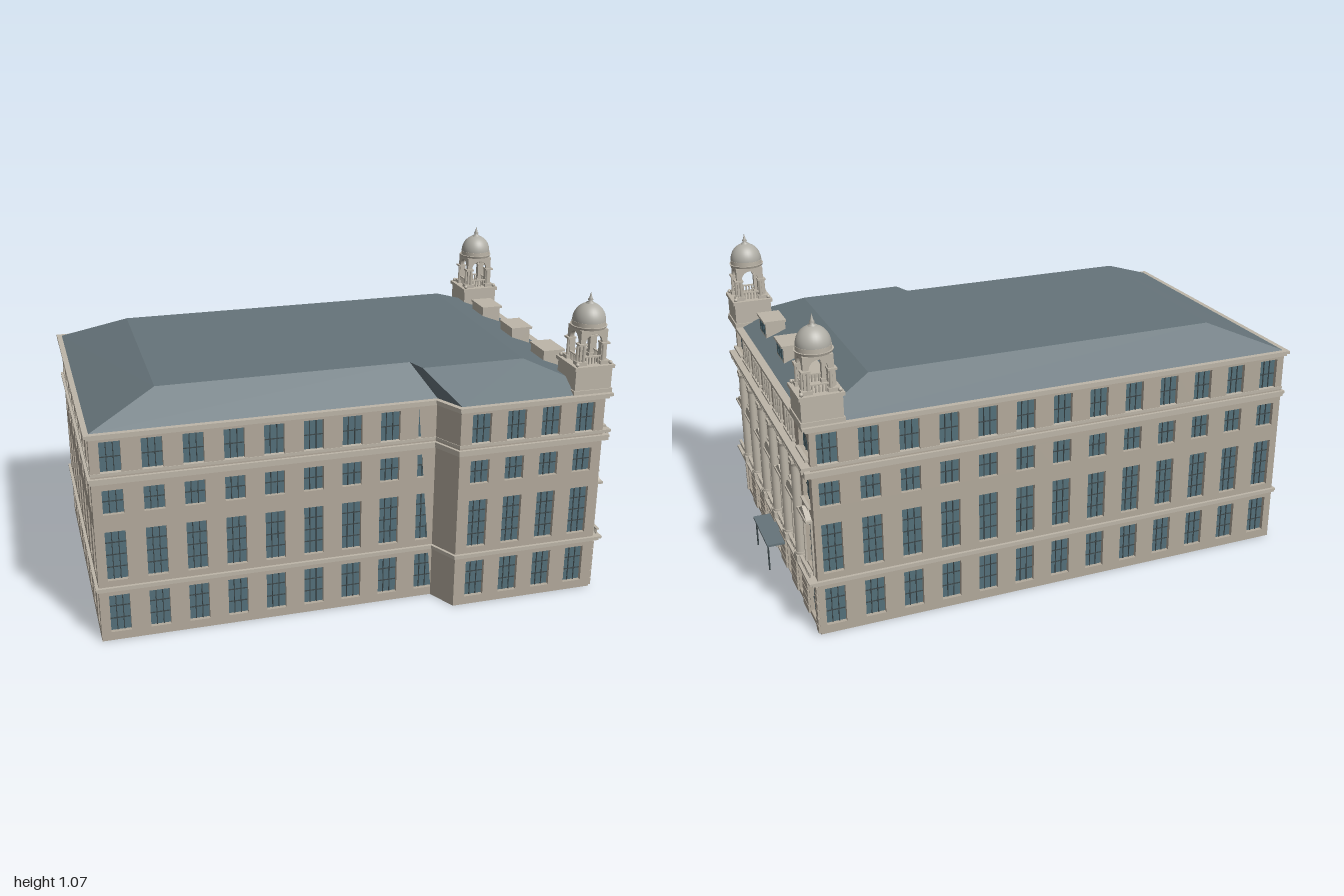
import * as THREE from 'three';
import { mergeGeometries } from 'three/addons/utils/BufferGeometryUtils.js';

const mat = (color) => new THREE.MeshStandardMaterial({ color });
const STONE = mat(0xb3aa9c), TRIM = mat(0xbdb6a9), GLASS = mat(0x54707a), BARS = mat(0x3d484b);
const ROOF = mat(0x66747a), DARK = mat(0x333333), DOME = mat(0xb0aea6);

// ---- helpers ----
const box = (x, y, z, w, h, d) => new THREE.BoxGeometry(w, h, d).translate(x, y, z);
const rod = (x, y0, y1, z, rTop, rBottom = rTop, n = 12) =>
  new THREE.CylinderGeometry(rTop, rBottom, y1 - y0, n).translate(x, (y0 + y1) / 2, z);
const ball = (x, y, z, r) => new THREE.SphereGeometry(r, 12, 8).translate(x, y, z);
function part(parent, name, geos, material) {
  const mesh = new THREE.Mesh(mergeGeometries(geos.map((g) => (g.index ? g.toNonIndexed() : g))), material);
  mesh.name = name;
  parent.add(mesh);
  return mesh;
}
const prism = (shape, depth, z) =>
  new THREE.ExtrudeGeometry(shape, { depth, bevelEnabled: false, curveSegments: 10 }).translate(0, 0, z);

// opening outline: x is the centre, y the sill, rise the height of the arched head
const opening = (x, y, w, h, rise = 0) => ({ x, y, w, h, rise });
function outlineOf({ x, y, w, h, rise }, Type) {
  const s = new Type();
  s.moveTo(x - w / 2, y);
  s.lineTo(x + w / 2, y);
  s.lineTo(x + w / 2, y + h - rise);
  if (rise) s.absellipse(x, y + h - rise, w / 2, rise, 0, Math.PI, false);
  else s.lineTo(x - w / 2, y + h);
  s.lineTo(x - w / 2, y);
  return s;
}

// wall in its own frame: x along the wall, z outward, openings glazed behind the face
function wall(parent, name, rot, dist, x0, x1, openings) {
  const g = new THREE.Group();
  g.name = name;
  g.rotation.y = rot;
  parent.add(g);
  const shape = new THREE.Shape([[x0, 0], [x1, 0], [x1, 0.73], [x0, 0.73]].map((p) => new THREE.Vector2(...p)));
  shape.holes = openings.map((o) => outlineOf(o, THREE.Path));
  part(g, name + 'Masonry', [prism(shape, 0.02, dist - 0.02)], STONE);
  if (!openings.length) return g;
  part(g, name + 'Glass', openings.map((o) =>
    new THREE.ShapeGeometry(outlineOf(o, THREE.Shape), 10).translate(0, 0, dist - 0.014)), GLASS);
  const bars = [];
  for (const { x, y, w, h } of openings) {
    const cols = w > 0.05 ? 3 : 1, rows = Math.max(2, Math.round(h / 0.045));
    for (let i = 1; i < cols; i++) bars.push(box(x - w / 2 + (w * i) / cols, y + h * 0.48, dist - 0.013, 0.003, h * 0.96, 0.004));
    for (let i = 1; i < rows; i++) bars.push(box(x, y + (h * i) / rows, dist - 0.013, w * 0.98, 0.003, 0.004));
  }
  part(g, name + 'GlazingBars', bars, BARS);
  return g;
}

// four storeys of plain windows
const STOREYS = [[0.03, 0.135], [0.22, 0.175], [0.455, 0.085], [0.595, 0.11]];
function windowGrid(start, step, count, w = 0.067) {
  const list = [];
  for (let i = 0; i < count; i++) for (const [y, h] of STOREYS) list.push(opening(start + i * step, y, w, h));
  return list;
}

// footprint grown by o, with the facade side grown by f
const footprint = (o, f = o) => [[-0.87 - o, -0.52 - o], [0.835 + f, -0.52 - o], [0.835 + f, 0.592 + o],
  [0.32 - 0.6 * o, 0.592 + o], [0.272 - 0.6 * o, 0.495 + o], [-0.87 - o, 0.495 + o]];
const planShape = (pts) => new THREE.Shape(pts.map(([x, z]) => new THREE.Vector2(x, -z)));
const slab = (y0, y1, o, f) => prism(planShape(footprint(o, f)), y1 - y0, 0).rotateX(-Math.PI / 2).translate(0, y0, 0);

function buildRoof(parent) {
  const top = [[-0.632, -0.381], [0.6, -0.381], [0.6, 0.435], [0.24, 0.435], [0.218, 0.368], [-0.64, 0.368]];
  const low = footprint(-0.004), pos = [];
  const at = (p, y) => [p[0], y, p[1]];
  low.forEach((a, i) => {
    const j = (i + 1) % low.length, b = low[j];
    pos.push(...at(a, 0.735), ...at(top[i], 0.825), ...at(b, 0.735));
    pos.push(...at(b, 0.735), ...at(top[i], 0.825), ...at(top[j], 0.825));
  });
  const slopes = new THREE.BufferGeometry();
  slopes.setAttribute('position', new THREE.Float32BufferAttribute(pos, 3));
  slopes.computeVertexNormals();
  part(parent, 'roofSlopes', [slopes], ROOF);
  part(parent, 'roofDeck', [new THREE.ShapeGeometry(planShape(top)).rotateX(-Math.PI / 2).translate(0, 0.825, 0)], ROOF);
}

function buildFacade(parent) {
  const Z = 0.835, bays = [-3, -2, -1, 0, 1, 2, 3].map((k) => ({ k, x: -0.045 + 0.162 * k, end: Math.abs(k) === 3 }));
  const holes = [], trim = [], stone = [];
  for (const { k, x, end } of bays) {
    // ground floor, tall main floor, third floor
    const ground = end ? opening(x, 0.016, 0.098, 0.152, 0.045)
      : Math.abs(k) === 2 ? opening(x, 0.016, 0.074, 0.135, 0.037) : opening(x, 0.006, 0.07, 0.14);
    holes.push(ground, opening(x, 0.205, 0.092, 0.19), opening(x, 0.445, end ? 0.088 : 0.076, 0.09));
    if (end) holes.push(opening(x, 0.615, 0.115, 0.1, 0.055));
    else for (const s of [-1, 0, 1]) holes.push(opening(x + s * 0.032, 0.625, 0.023, 0.085, 0.0115));
    if (!end) for (const s of [-1.5, -0.5, 0.5, 1.5]) trim.push(rod(x + s * 0.032, 0.612, 0.69, Z + 0.004, 0.005, 0.005, 8));
    trim.push(box(x, 0.613, Z + 0.006, 0.12, 0.008, 0.012));
    // pediments: triangular and segmental by turns
    const p = new THREE.Shape();
    p.moveTo(x - 0.055, 0.4);
    p.lineTo(x + 0.055, 0.4);
    if (k % 2) p.lineTo(x, 0.433);
    else p.absellipse(x, 0.405, 0.052, 0.038, 0, Math.PI, false);
    trim.push(prism(p, 0.018, Z), box(x, 0.4, Z + 0.011, 0.116, 0.008, 0.022));
    for (const s of [-1, 1]) trim.push(box(x + s * 0.05, 0.3, Z + 0.003, 0.008, 0.19, 0.006));
    trim.push(box(x, 0.442, Z + 0.005, 0.095, 0.006, 0.01));
    // balcony balustrade
    trim.push(box(x, 0.222, Z + 0.018, 0.12, 0.005, 0.01));
    for (let i = -5; i <= 5; i++) trim.push(rod(x + i * 0.01, 0.2, 0.22, Z + 0.018, 0.003, 0.003, 6));
    // keystone
    if (Math.abs(k) > 1) trim.push(box(x, 0.168 - (end ? 0 : 0.013), Z + 0.005, 0.014, 0.022, 0.012));
  }
  // giant order between the bays
  const columns = [];
  for (let k = -2.5; k < 3; k++) {
    const x = -0.045 + 0.162 * k;
    columns.push(box(x, 0.21, Z + 0.014, 0.044, 0.024, 0.036), rod(x, 0.222, 0.23, Z + 0.013, 0.019),
      rod(x, 0.23, 0.545, Z + 0.013, 0.0145, 0.0165), rod(x, 0.54, 0.553, Z + 0.013, 0.019, 0.015),
      box(x, 0.559, Z + 0.012, 0.042, 0.012, 0.034));
  }
  // rusticated courses on the ground-floor piers
  const edges = [-0.592, ...bays.flatMap(({ x, end }) => [x - (end ? 0.051 : 0.04), x + (end ? 0.051 : 0.04)]), 0.52];
  for (let i = 0; i < edges.length; i += 2) for (let c = 0; c < 6; c++)
    stone.push(box((edges[i] + edges[i + 1]) / 2, 0.018 + c * 0.029, Z + 0.003, edges[i + 1] - edges[i], 0.025, 0.008));
  // dentils
  for (let x = -0.58; x < 0.515; x += 0.016) trim.push(box(x, 0.58, Z + 0.022, 0.008, 0.01, 0.012));
  const g = wall(parent, 'facade', Math.PI / 2, Z, -0.592, 0.52, holes);
  part(g, 'facadeTrim', trim, TRIM);
  part(g, 'facadeColumns', columns, TRIM);
  part(g, 'rustication', stone, STONE);
  // entrance canopy
  part(g, 'canopy', [box(-0.04, 0.105, Z + 0.035, 0.23, 0.008, 0.068)], ROOF);
  part(g, 'canopyPosts', [-0.135, 0.055].map((x) => rod(x, 0, 0.102, Z + 0.063, 0.003, 0.003, 8)), BARS);
  // dormers
  for (const x of [-0.301, -0.034, 0.239]) {
    part(g, 'dormer', [box(x, 0.772, 0.752, 0.104, 0.074, 0.07), box(x, 0.811, 0.754, 0.116, 0.008, 0.08)], TRIM);
    part(g, 'dormerWindow', [-1, 0, 1].map((s) => box(x + s * 0.028, 0.78, 0.787, 0.023, 0.04, 0.003)), GLASS);
  }
}

function buildTower(parent, x, z) {
  const g = new THREE.Group();
  g.name = 'tower';
  g.position.set(x, 0, z);
  parent.add(g);
  part(g, 'towerBase', [box(0, 0.775, 0, 0.132, 0.09, 0.132), box(0, 0.742, 0, 0.14, 0.014, 0.14),
    box(0, 0.826, 0, 0.144, 0.012, 0.144)], TRIM);
  const belfry = [];
  for (let q = 0; q < 4; q++) {
    const arch = new THREE.Shape();
    arch.moveTo(0.048, 0.9);
    arch.lineTo(0.048, 0.95);
    arch.lineTo(-0.048, 0.95);
    arch.lineTo(-0.048, 0.9);
    arch.lineTo(-0.03, 0.9);
    arch.absellipse(0, 0.905, 0.03, 0.032, Math.PI, 0, true);
    arch.lineTo(0.03, 0.9);
    const side = [prism(arch, 0.012, 0.036), box(0, 0.858, 0.044, 0.07, 0.004, 0.008),
      box(0.038, 0.867, 0.038, 0.02, 0.07, 0.02), box(0.041, 0.903, 0.041, 0.03, 0.006, 0.03),
      box(0.041, 0.838, 0.041, 0.034, 0.012, 0.034), ball(0.06, 0.838, 0.06, 0.007)];
    for (const s of [-1, 1]) side.push(rod(s * 0.035, 0.844, 0.9, 0.05, 0.005, 0.006, 8));
    for (let i = -2; i <= 2; i++) side.push(rod(i * 0.011, 0.832, 0.857, 0.044, 0.003, 0.003, 6));
    belfry.push(...side.map((s) => s.rotateY((q * Math.PI) / 2)));
  }
  belfry.push(rod(0, 0.95, 0.958, 0, 0.061, 0.058, 32), rod(0, 0.958, 0.972, 0, 0.056, 0.056, 32));
  part(g, 'belfry', belfry, TRIM);
  const dome = new THREE.SphereGeometry(0.055, 32, 12, 0, Math.PI * 2, 0, Math.PI / 2).scale(1, 1.08, 1).translate(0, 0.972, 0);
  part(g, 'dome', [dome], DOME);
  const profile = [[0.014, 1.026], [0.014, 1.032], [0.006, 1.035], [0.009, 1.042], [0.005, 1.048], [0, 1.068]];
  part(g, 'finial', [new THREE.LatheGeometry(profile.map((p) => new THREE.Vector2(...p)), 12)], DOME);
}

export function createModel() {
  const model = new THREE.Group();
  model.name = 'building';
  const house = new THREE.Group();
  house.name = 'house';
  house.rotation.y = 0.288;
  model.add(house);

  // plain walls
  wall(house, 'frontWall', 0, 0.495, -0.87, 0.275, windowGrid(-0.805, 0.131, 9));
  wall(house, 'frontBayWall', 0, 0.592, 0.32, 0.835, windowGrid(0.394, 0.124, 4));
  wall(house, 'backWall', Math.PI, 0.52, -0.835, 0.87, windowGrid(-0.78, 0.1325, 13));
  wall(house, 'endWall', -Math.PI / 2, 0.87, -0.52, 0.495, windowGrid(-0.455, 0.126, 8));
  const turn = Math.atan2(-0.097, 0.048), along = (x, z) => x * Math.cos(turn) - z * Math.sin(turn);
  wall(house, 'splayWall', turn, 0.272 * Math.sin(turn) + 0.495 * Math.cos(turn), along(0.272, 0.495), along(0.32, 0.592), []);
  buildFacade(house);

  // string courses, cornice and floor
  part(house, 'stringCourses', [slab(0.183, 0.19, 0.007, 0.02), slab(0.19, 0.198, 0.01, 0.03),
    slab(0.563, 0.575, 0.006, 0.022), slab(0.575, 0.584, 0.01, 0.022), slab(0.59, 0.6, 0.002, 0.03)], TRIM);
  part(house, 'cornice', [slab(0.716, 0.725, 0.007, 0.012), slab(0.725, 0.735, 0.014, 0.022)], TRIM);
  part(house, 'floor', [slab(0.001, 0.004, -0.018)], DARK);

  buildRoof(house);
  for (const z of [-0.453, 0.521]) buildTower(house, 0.787, z);
  return model;
}
